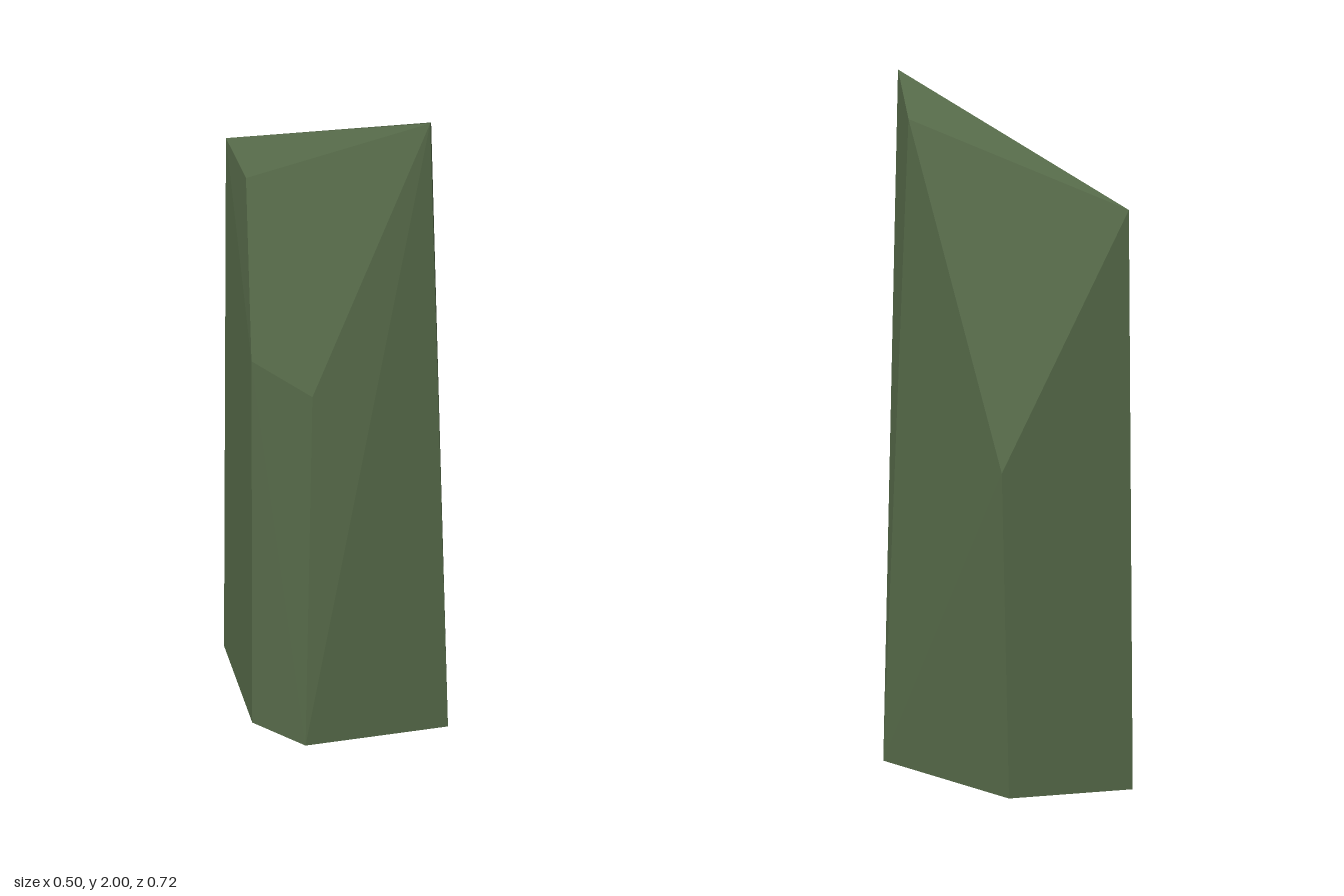
import * as THREE from 'three';
import { ConvexGeometry } from 'three/addons/geometries/ConvexGeometry.js';

export function createModel() {
  const group = new THREE.Group();
  group.name = 'rockPillar';

  const mossGreen = new THREE.MeshStandardMaterial({ color: 0x566a49 });
  mossGreen.name = 'mossGreen';

  // Five-sided footprint on the ground
  const base = [
    [0.215, 0, 0.345], [-0.186, 0, 0.236], [-0.252, 0, 0.05],
    [-0.108, 0, -0.358], [0.225, 0, -0.21],
  ];
  // Shoulder corners where the sides break inward
  const shoulder = [[-0.243, 1.17, 0.03], [-0.16, 1.13, 0.23], [0.25, 0.95, -0.208]];
  // Slanted, chipped crown
  const crown = [
    [0.15, 2, 0.357], [0.24, 1.9, 0.207],
    [-0.118, 1.68, -0.33], [-0.18, 1.68, -0.11],
  ];

  // Faceted shard spanning all the corners
  const corners = [...base, ...shoulder, ...crown].map((p) => new THREE.Vector3(...p));
  const shard = new THREE.Mesh(new ConvexGeometry(corners), mossGreen);
  shard.name = 'stoneShard';
  group.add(shard);

  return group;
}
